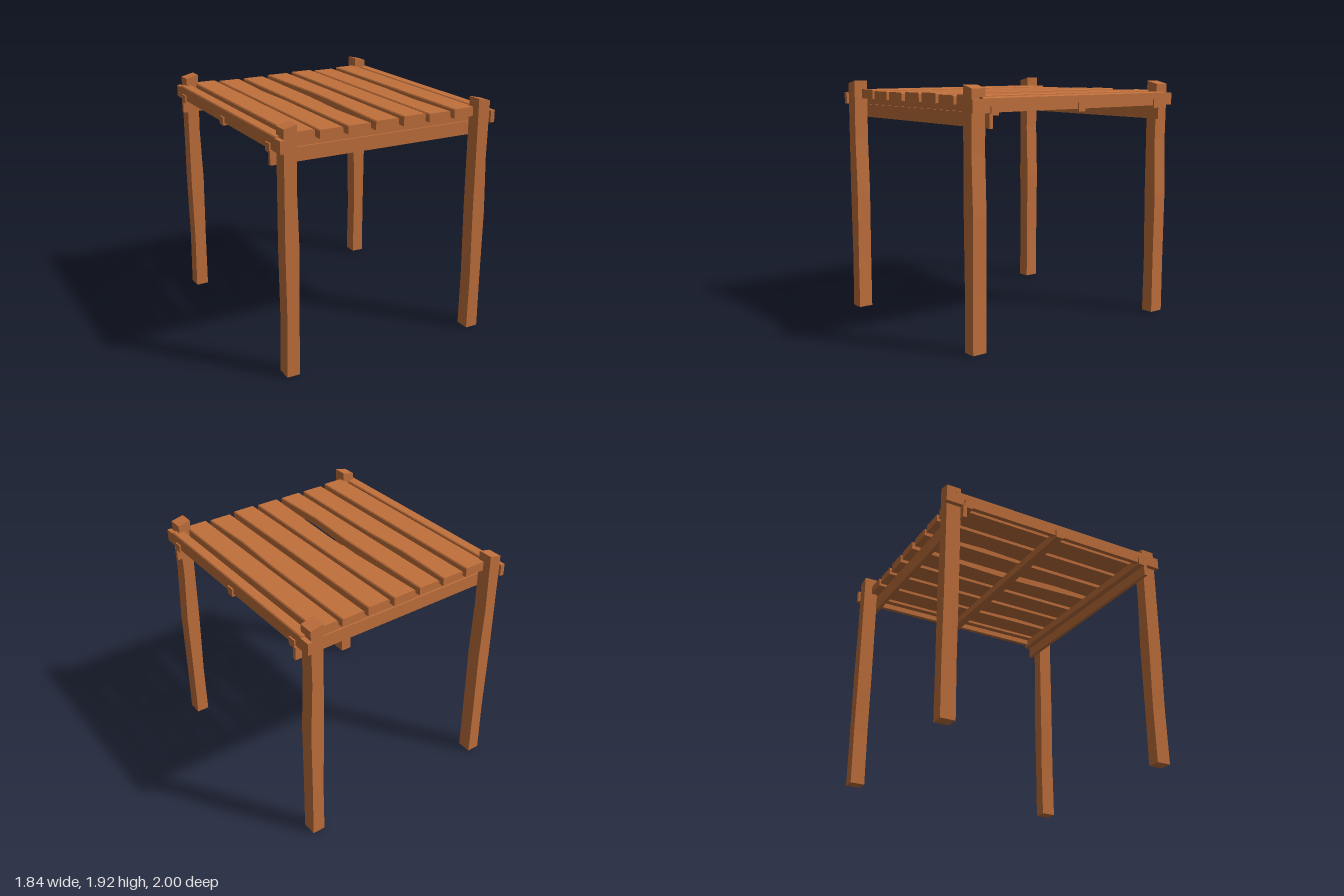
import * as THREE from 'three';

const wood = new THREE.MeshStandardMaterial({ color: 0xc1703c, flatShading: true });

// Joins matching cross-section rings (listed counter-clockwise as seen from the far end) and caps both ends.
function loft(name, rings) {
  const n = rings[0].length, pos = [];
  const tri = (a, b, c) => pos.push(...a, ...b, ...c);
  for (let i = 0; i < rings.length - 1; i++) {
    for (let j = 0; j < n; j++) {
      const k = (j + 1) % n, a = rings[i], b = rings[i + 1];
      tri(a[j], a[k], b[k]);
      tri(a[j], b[k], b[j]);
    }
  }
  const first = rings[0], last = rings[rings.length - 1];
  for (let j = 1; j < n - 1; j++) {
    tri(first[0], first[j + 1], first[j]);
    tri(last[0], last[j], last[j + 1]);
  }
  const geo = new THREE.BufferGeometry();
  geo.setAttribute('position', new THREE.Float32BufferAttribute(pos, 3));
  geo.computeVertexNormals();
  const mesh = new THREE.Mesh(geo, wood);
  mesh.name = name;
  return mesh;
}

// Box given by its extents.
function beam(name, x0, x1, y0, y1, z0, z1) {
  const mesh = new THREE.Mesh(new THREE.BoxGeometry(x1 - x0, y1 - y0, z1 - z0), wood);
  mesh.position.set((x0 + x1) / 2, (y0 + y1) / 2, (z0 + z1) / 2);
  mesh.name = name;
  return mesh;
}

// Hand-hewn post: slightly wavering sides and a sloping top.
function post(name, sx, sz) {
  const levels = [[0, 0, 0], [0.45, 0.004, -0.003], [1, 0.003, 0.004], [1.45, -0.004, -0.004], [1.91, 0, 0]];
  const cx = 0.82 * sx, cz = 0.922 * sz, hz = 0.059;
  return loft(name, levels.map(([y, dx, dw], i) => {
    const x = cx + dx, hx = 0.052 + dw;
    const slope = i === levels.length - 1 ? 0.012 : 0;
    const inner = y + slope, outer = y - slope;
    const yl = sx > 0 ? inner : outer, yr = sx > 0 ? outer : inner;
    return [[x - hx, yl, cz + hz], [x + hx, yr, cz + hz], [x + hx, yr, cz - hz], [x - hx, yl, cz - hz]];
  }));
}

// Roof slat with bevelled upper edges; bends lists [z, left edge shift, right edge shift].
function slat(name, x0, x1, top, zShift, bends = []) {
  const c = 0.008, bottom = 1.775;
  const stations = [[-0.913, 0, 0], ...bends, [0.913, 0, 0]];
  return loft(name, stations.map(([z, l, r]) => {
    const a = x0 + l, b = x1 + r, zz = z + zShift;
    return [[a, bottom, zz], [b, bottom, zz], [b, top - c, zz], [b - c, top, zz], [a + c, top, zz], [a, top - c, zz]];
  }));
}

export function createModel() {
  const model = new THREE.Group();
  model.name = 'pergola';

  // Corner posts
  for (const sx of [-1, 1]) for (const sz of [-1, 1]) {
    model.add(post((sz > 0 ? 'front' : 'back') + (sx > 0 ? 'Left' : 'Right') + 'Post', sx, sz));
  }

  // Cross beams at front and back: a low plank with a batten behind it
  for (const s of [-1, 1]) {
    const side = s > 0 ? 'front' : 'back';
    const span = (a, b) => [Math.min(a * s, b * s), Math.max(a * s, b * s)];
    model.add(beam(side + 'BeamPlank', -0.92, 0.92, 1.62, 1.725, ...span(0.835, 0.865)));
    model.add(beam(side + 'BeamBatten', -0.92, 0.92, 1.71, 1.775, ...span(0.785, 0.85)));
  }
  model.add(beam('middleBatten', -0.92, 0.92, 1.71, 1.775, -0.034, 0.032));

  // Side rails outside the posts, each with a narrow edge slat
  for (const s of [-1, 1]) {
    const side = s > 0 ? 'left' : 'right';
    const span = (a, b) => [Math.min(a * s, b * s), Math.max(a * s, b * s)];
    model.add(beam(side + 'Rail', ...span(0.872, 0.908), 1.73, 1.825, -1, 1));
    model.add(slat(side + 'EdgeSlat', ...span(0.82, 0.908), 1.838, 0));
  }

  // Roof slats, some with worn edges
  const slats = [
    [-0.785, -0.595, 1.85, 0],
    [-0.56, -0.37, 1.84, 0.002, [[-0.4, 0, -0.02], [0, 0, 0]]],
    [-0.33, -0.143, 1.84, 0.004, [[0, 0, 0], [0.45, 0, -0.02]]],
    [-0.098, 0.098, 1.845, 0, [[-0.1, 0.032, 0.004], [0.1, 0.03, 0.002]]],
    [0.14, 0.33, 1.85, 0.003, [[0.2, -0.002, -0.004]]],
    [0.367, 0.557, 1.84, 0, [[0, 0, 0], [0.45, 0, -0.018]]],
    [0.595, 0.782, 1.848, 0]
  ];
  slats.forEach((args, i) => model.add(slat('roofSlat' + (i + 1), ...args)));

  return model;
}
